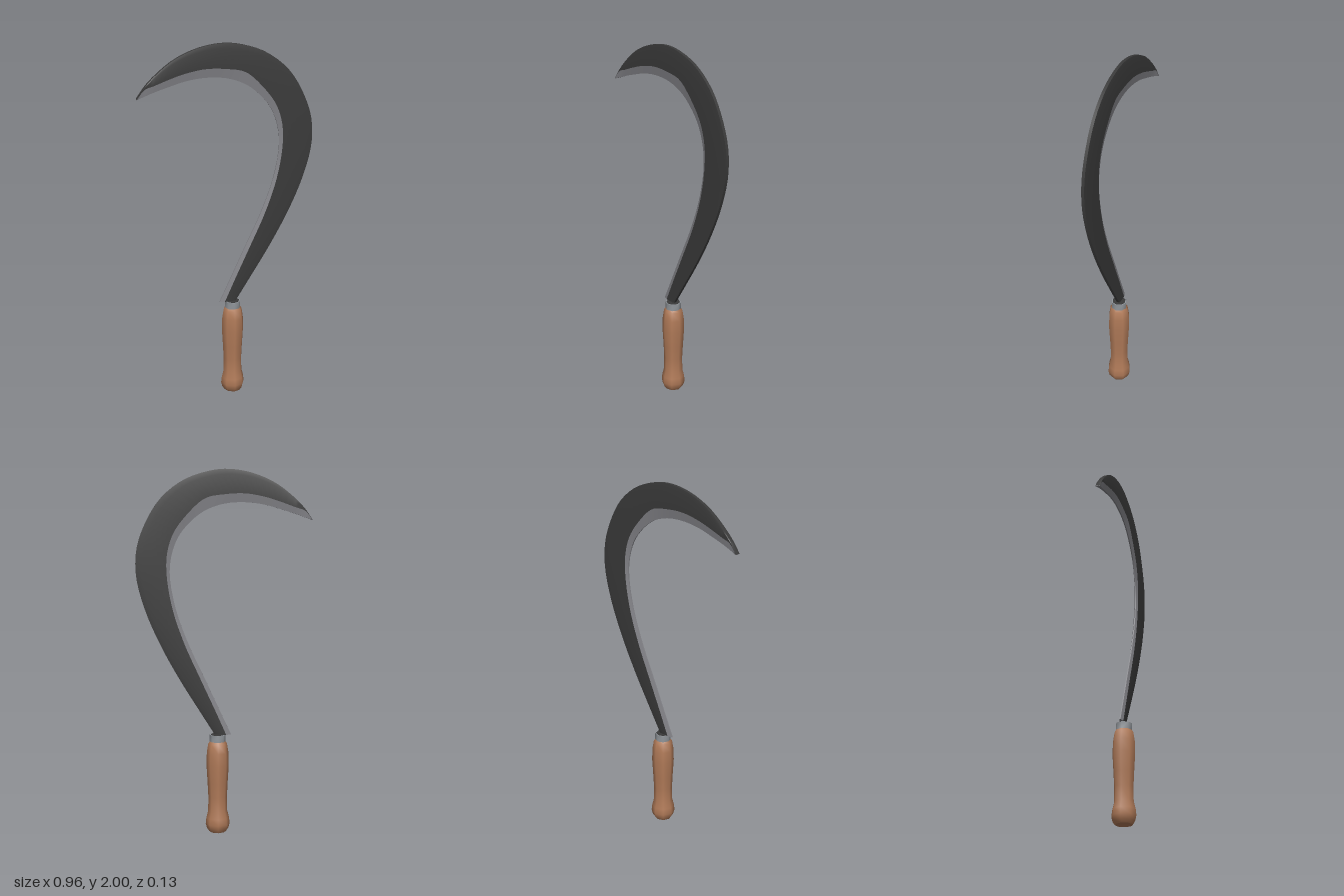
import * as THREE from 'three';
import { toCreasedNormals } from 'three/addons/utils/BufferGeometryUtils.js';

const HANDLE_X = 0.035;
const STEPS = 56;

const mat = (name, color, side = THREE.FrontSide) => {
  const m = new THREE.MeshStandardMaterial({ color, side });
  m.name = name;
  return m;
};

// Smooth line through x, y pairs
function line(pairs) {
  const pts = [];
  for (let i = 0; i < pairs.length; i += 2) pts.push(new THREE.Vector3(pairs[i], pairs[i + 1], 0));
  return new THREE.CatmullRomCurve3(pts).getPoints(STEPS);
}

// Skin over rows of points that run from base to tip, with both ends capped
function skin(rows) {
  const n = STEPS + 1, pos = [], idx = [];
  rows.forEach(row => row.forEach(p => pos.push(p.x, p.y, p.z)));
  for (let r = 0; r < rows.length - 1; r++) {
    for (let i = 0; i < STEPS; i++) {
      const a = r * n + i, b = a + n;
      idx.push(a, b, a + 1, b, b + 1, a + 1);
    }
  }
  for (let r = 1; r < rows.length - 1; r++) {
    idx.push(0, (r + 1) * n, r * n);
    idx.push(STEPS, r * n + STEPS, (r + 1) * n + STEPS);
  }
  const g = new THREE.BufferGeometry();
  g.setAttribute('position', new THREE.Float32BufferAttribute(pos, 3));
  g.setIndex(idx);
  return toCreasedNormals(g, 0.5);
}

export function createModel() {
  const model = new THREE.Group();
  const darkIron = mat('dark iron', 0x3a3a3a);
  const steel = mat('ground steel', 0x838388);
  const ferruleMetal = mat('ferrule metal', 0x91969b);
  const wood = mat('wood', 0xb07a58);

  const add = (name, geometry, material, x = 0, y = 0) => {
    const mesh = new THREE.Mesh(geometry, material);
    mesh.name = name;
    mesh.position.set(x, y, 0);
    model.add(mesh);
  };

  // Blade outlines: back of the blade, start of the bevel, cutting edge
  const spine = line([0.05, 0.55, 0.125, 0.67, 0.245, 0.865, 0.35, 1.06, 0.43, 1.25, 0.475, 1.43,
    0.47, 1.58, 0.42, 1.72, 0.34, 1.845, 0.22, 1.94, 0.09, 1.987, -0.02, 2.0, -0.15, 1.98,
    -0.28, 1.925, -0.39, 1.84, -0.44, 1.787, -0.48, 1.73]);
  const bevel = line([-0.012, 0.55, 0.05, 0.69, 0.13, 0.865, 0.217, 1.06, 0.28, 1.25, 0.31, 1.43,
    0.307, 1.55, 0.272, 1.66, 0.193, 1.765, 0.1, 1.845, 0, 1.865, -0.115, 1.87, -0.22, 1.852,
    -0.3, 1.828, -0.39, 1.795, -0.438, 1.778, -0.48, 1.729]);
  const edge = line([-0.04, 0.55, 0.025, 0.69, 0.105, 0.865, 0.195, 1.06, 0.262, 1.25, 0.293, 1.43,
    0.283, 1.54, 0.245, 1.64, 0.18, 1.72, 0.1, 1.78, 0, 1.815, -0.115, 1.823, -0.22, 1.81,
    -0.31, 1.785, -0.39, 1.76, -0.44, 1.742, -0.48, 1.727]);
  const shoulder = bevel.map((p, i) => p.clone().lerp(spine[i], 0.8));

  // Offset a line in z, thickening it toward the tip
  const at = (pts, z, tipZ, side) => pts.map((p, i) =>
    new THREE.Vector3(p.x, p.y, side * THREE.MathUtils.lerp(z, tipZ, (i / STEPS) ** 8)));
  const bevelAt = s => at(bevel, 0.011, 0.014, s);
  const edgeAt = s => at(edge, 0.003, 0.013, s);
  const shoulderAt = s => at(shoulder, 0.012, 0.014, s);
  const spineAt = s => at(spine, 0.008, 0.013, s);

  add('bladeBody', skin([bevelAt(1), shoulderAt(1), spineAt(1), spineAt(-1), shoulderAt(-1), bevelAt(-1)]), darkIron);
  add('cuttingEdge', skin([bevelAt(-1), edgeAt(-1), edgeAt(1), bevelAt(1)]), steel);

  // Turned octagonal handle
  const profile = [[0, 0], [0.047, 0], [0.06, 0.018], [0.067, 0.045], [0.063, 0.08], [0.053, 0.12],
    [0.052, 0.2], [0.056, 0.28], [0.062, 0.38], [0.06, 0.45], [0.052, 0.5], [0.042, 0.515]];
  const lathe = new THREE.LatheGeometry(profile.map(p => new THREE.Vector2(...p)), 8);
  add('handle', toCreasedNormals(lathe, 0.9), wood, HANDLE_X);

  // Ferrule with the dark tang socket on top
  add('ferrule', toCreasedNormals(new THREE.CylinderGeometry(0.044, 0.044, 0.04, 8), 0.9), ferruleMetal, HANDLE_X, 0.53);
  add('tangSocket', new THREE.CylinderGeometry(0.038, 0.038, 0.004, 8), darkIron, HANDLE_X, 0.55);

  return model;
}
